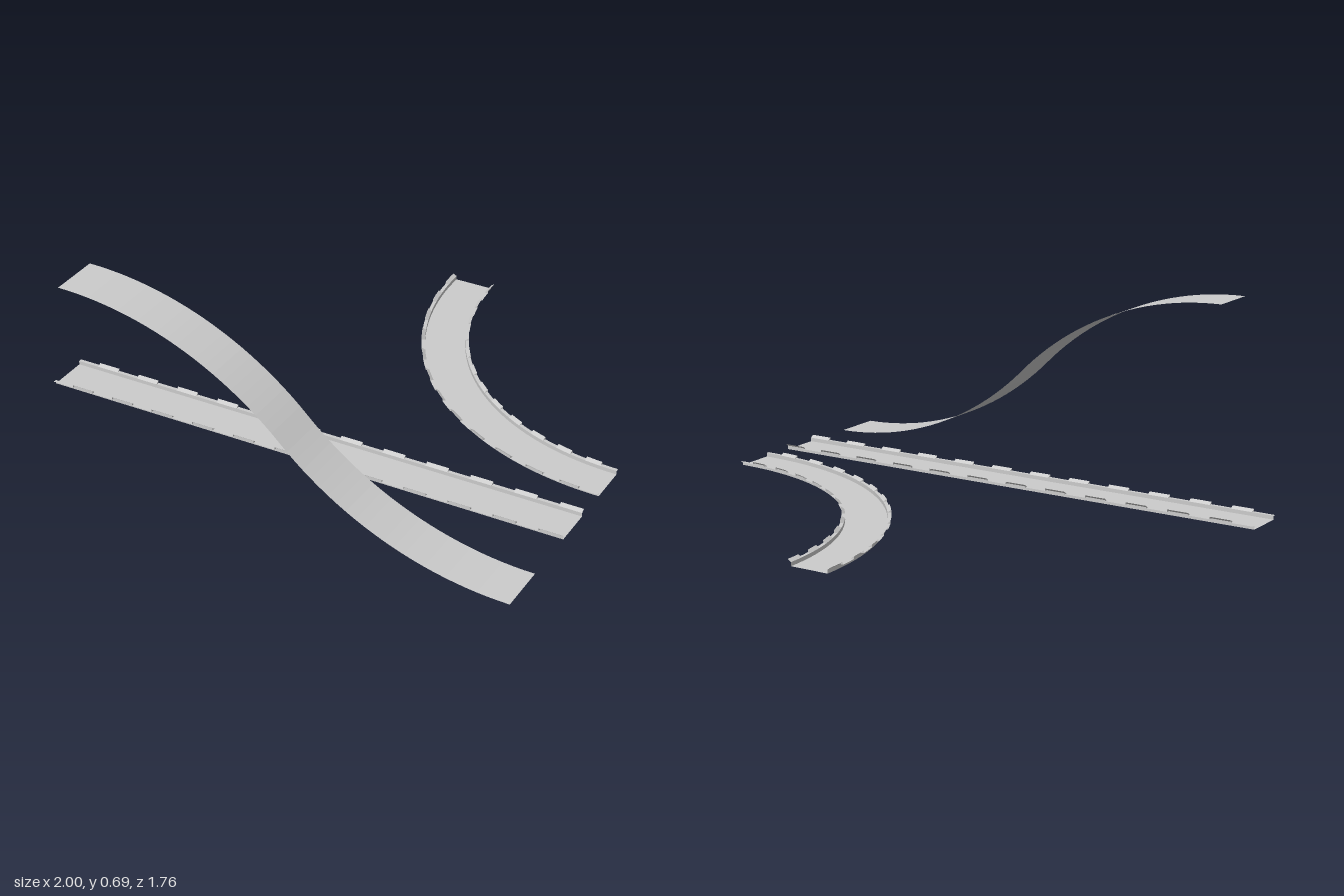
import * as THREE from 'three';

const SEGMENTS = 24;
const HALF_FLOOR = 0.074, HALF_WIDTH = 0.087; // half widths of floor and rim
const WALL = 0.014, TOOTH = 0.023;            // heights of wall and raised teeth

const material = new THREE.MeshStandardMaterial({
  color: 0xcccccc, flatShading: true, side: THREE.DoubleSide,
});

function meshFrom(name, points) {
  const geometry = new THREE.BufferGeometry().setFromPoints(points);
  geometry.computeVertexNormals();
  const mesh = new THREE.Mesh(geometry, material);
  mesh.name = name;
  return mesh;
}

// Quad between two cross-section points a, b and their successors c, d
const quad = (a, b, c, d) => [a, b, c, b, d, c];

// Strip swept along at(t, offset, height) through a list of [offset, height]
function sweep(name, at, profile, steps) {
  const points = [];
  for (let i = 0; i < steps; i++) {
    const t0 = i / steps, t1 = (i + 1) / steps;
    for (let j = 0; j + 1 < profile.length; j++) {
      const [p, q] = [profile[j], profile[j + 1]];
      points.push(...quad(at(t0, ...p), at(t0, ...q), at(t1, ...p), at(t1, ...q)));
    }
  }
  return meshFrom(name, points);
}

// Outward rim whose edge alternates between flat gaps and raised teeth
function toothedRim(name, at, side, firstRaised) {
  const points = [], sub = 2;
  const inner = side * HALF_FLOOR, outer = side * HALF_WIDTH;
  for (let i = 0; i < SEGMENTS; i++) {
    const height = (i % 2 === 0) === firstRaised ? TOOTH : WALL;
    for (let k = 0; k < sub; k++) {
      const t0 = (i + k / sub) / SEGMENTS, t1 = (i + (k + 1) / sub) / SEGMENTS;
      const p = [inner, WALL], q = [outer, height];
      const [a, b] = side > 0 ? [p, q] : [q, p];
      points.push(...quad(at(t0, ...a), at(t0, ...b), at(t1, ...a), at(t1, ...b)));
    }
    // Triangular tooth end
    if (i > 0) {
      const t = i / SEGMENTS;
      points.push(at(t, inner, WALL), at(t, outer, WALL), at(t, outer, TOOTH));
    }
  }
  return meshFrom(name, points);
}

function track(name, at, firstRaised, steps) {
  const group = new THREE.Group();
  group.name = name;
  const channel = [[-HALF_FLOOR, WALL], [-HALF_FLOOR, 0], [HALF_FLOOR, 0], [HALF_FLOOR, WALL]];
  group.add(
    sweep('channel', at, channel, steps),
    toothedRim('innerRim', at, -1, firstRaised),
    toothedRim('outerRim', at, 1, firstRaised),
  );
  return group;
}

export function createModel() {
  const model = new THREE.Group();
  model.name = 'trackSet';

  // Straight track along x
  const straight = (t, offset, y) => new THREE.Vector3(-1 + 2 * t, y, 0.407 + offset);
  model.add(track('straightTrack', straight, false, 1));

  // Quarter-turn track
  const curved = (t, offset, y) => {
    const angle = t * Math.PI / 2, r = 1.005 + offset;
    return new THREE.Vector3(1 - r * Math.cos(angle), y, -0.88 + r * Math.sin(angle));
  };
  model.add(track('curvedTrack', curved, true, SEGMENTS * 2));

  // Thin ramp made of two mirrored eighth-circle arcs
  const R = 1.177, midX = 0.1675, midY = R * (1 - Math.SQRT1_2);
  const ramp = (t, offset) => {
    const s = 2 * t - 1, sign = Math.sign(s);
    const angle = (1 - Math.abs(s)) * Math.PI / 4;
    const x = midX + sign * R * (Math.SQRT1_2 - Math.sin(angle));
    const y = midY - sign * (midY - R * (1 - Math.cos(angle)));
    return new THREE.Vector3(x, y, 0.7875 + offset);
  };
  model.add(sweep('ramp', ramp, [[-0.0925, 0], [0.0925, 0]], 48));

  return model;
}
